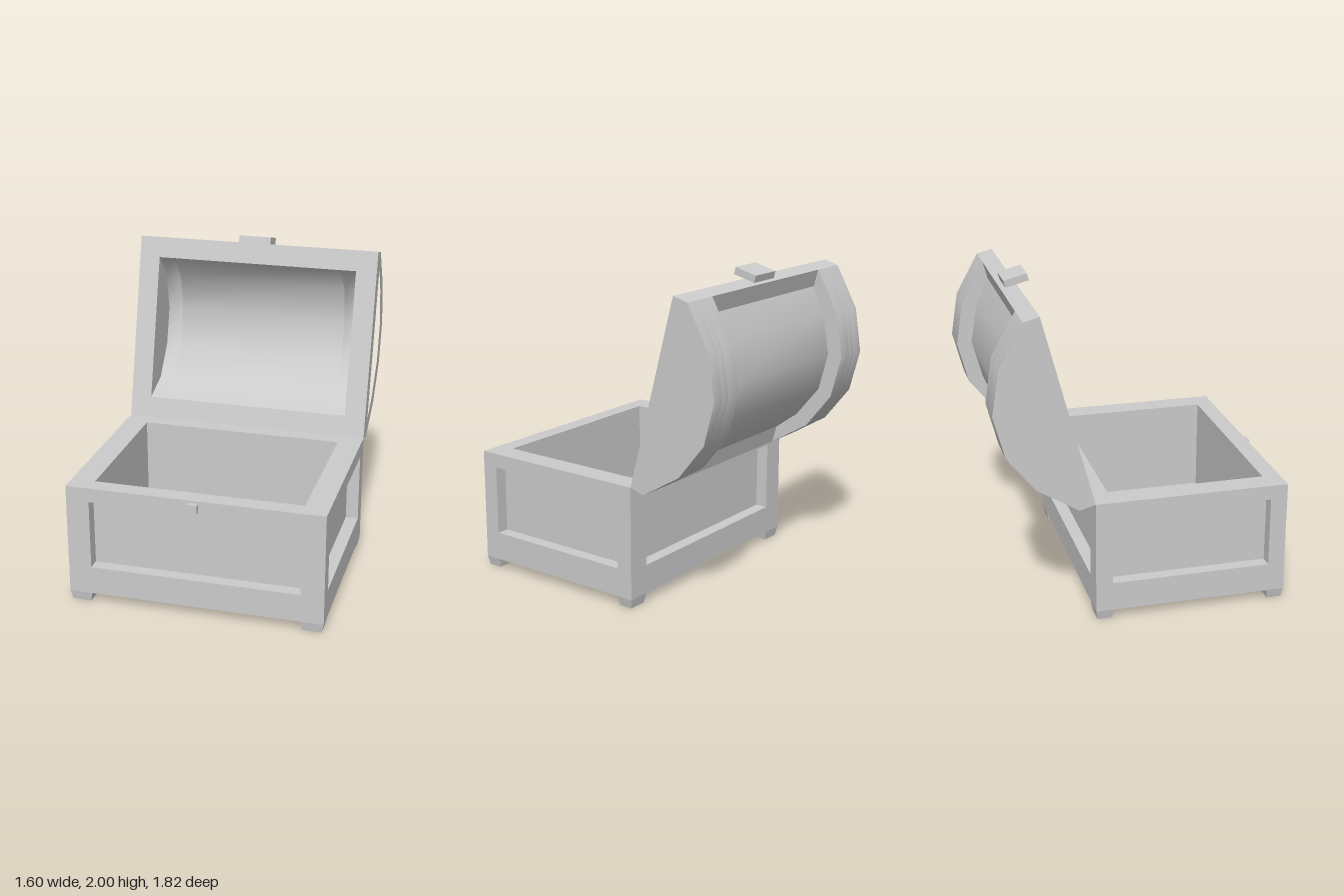
import * as THREE from 'three';
import { toCreasedNormals } from 'three/addons/utils/BufferGeometryUtils.js';

const material = new THREE.MeshStandardMaterial({ color: 0xcccccc });
const X = 0.8, FRONT = 0.88, BACK = -0.32, BASE = 0.06, RIM = 0.77;
const MID_Z = (FRONT + BACK) / 2, HALF_Z = (FRONT - BACK) / 2;
const PANEL_DEPTH = 0.08;

function add(parent, name, geometry) {
  const mesh = new THREE.Mesh(geometry, material);
  mesh.name = name;
  parent.add(mesh);
  return mesh;
}

function block(parent, name, x0, x1, y0, y1, z0, z1) {
  const g = new THREE.BoxGeometry(x1 - x0, y1 - y0, z1 - z0);
  g.translate((x0 + x1) / 2, (y0 + y1) / 2, (z0 + z1) / 2);
  return add(parent, name, g);
}

const points = (list) => list.map(([x, y]) => new THREE.Vector2(x, y));
const rect = (x0, x1, y0, y1) => [[x0, y0], [x1, y0], [x1, y1], [x0, y1]];

function extrude(outline, hole, depth) {
  const shape = new THREE.Shape(points(outline));
  if (hole) shape.holes.push(new THREE.Path(points(hole)));
  return new THREE.ExtrudeGeometry(shape, { depth, bevelEnabled: false });
}

// Mirrors the first half of a lid arch (u along the lid, v outwards)
const LENGTH = 1.21;
const arch = (half) => [...half, ...half.map(([u, v]) => [LENGTH - u, v]).reverse()];

function createBase() {
  const base = new THREE.Group();
  base.name = 'base';

  // Framed outer walls with sunken panels
  for (const s of [1, -1]) {
    const long = extrude(rect(-X, X, BASE, RIM), rect(-0.655, 0.655, 0.24, 0.68), PANEL_DEPTH);
    long.translate(0, 0, HALF_Z - PANEL_DEPTH);
    if (s < 0) long.rotateY(Math.PI);
    long.translate(0, 0, MID_Z);
    add(base, s > 0 ? 'frontFrame' : 'backFrame', long);

    const w = HALF_Z - PANEL_DEPTH;
    const short = extrude(rect(-w, w, BASE, RIM), rect(-0.495, 0.495, 0.24, 0.68), PANEL_DEPTH);
    short.translate(0, 0, X - PANEL_DEPTH);
    short.rotateY(s * Math.PI / 2);
    short.translate(0, 0, MID_Z);
    add(base, s > 0 ? 'leftFrame' : 'rightFrame', short);
  }

  // Inner walls, open above and below the floor
  const w = X - PANEL_DEPTH, d = HALF_Z - PANEL_DEPTH;
  const walls = extrude(rect(-w, w, -d, d), rect(-0.65, 0.65, -0.49, 0.49), RIM - BASE);
  walls.rotateX(-Math.PI / 2);
  walls.translate(0, BASE, MID_Z);
  add(base, 'innerWalls', walls);
  block(base, 'floor', -0.65, 0.65, 0.13, 0.17, MID_Z - 0.49, MID_Z + 0.49);

  // Tapered corner feet
  for (const sx of [1, -1]) for (const sz of [1, -1]) {
    const foot = new THREE.BoxGeometry(0.145, BASE, 0.11);
    const p = foot.attributes.position;
    for (let i = 0; i < p.count; i++) {
      if (p.getY(i) < 0) p.setXYZ(i, p.getX(i) * 0.82, p.getY(i), p.getZ(i) * 0.82);
    }
    foot.computeVertexNormals();
    foot.translate(sx * (X - 0.0725), BASE / 2, MID_Z + sz * (HALF_Z - 0.055));
    add(base, 'foot', foot);
  }

  block(base, 'catchKnob', -0.03, 0.03, 0.695, 0.755, FRONT, FRONT + 0.03);
  return base;
}

function createLid() {
  const lid = new THREE.Group();
  lid.name = 'lid';

  const bandArch = arch([[0, 0.1], [0.215, 0.306], [0.47, 0.418]]);
  const panelArch = arch([[0.11, 0.1], [0.255, 0.217], [0.483, 0.322]]);
  const cavityArch = arch([[0.134, 0], [0.255, 0.185], [0.483, 0.29]]);
  const band = [[0, 0], ...bandArch, [LENGTH, 0]];
  const hollow = (top) => [[0, 0], ...top, [LENGTH, 0], ...[...cavityArch].reverse()];
  const vault = hollow([[0, 0.1], ...panelArch, [LENGTH, 0.1]]);

  // Lid axes: u goes up, v goes back, the extrusion runs along -x
  const axes = new THREE.Matrix4().makeBasis(
    new THREE.Vector3(0, 1, 0), new THREE.Vector3(0, 0, -1), new THREE.Vector3(-1, 0, 0));
  function slice(name, outline, hole, x0, x1) {
    const g = extrude(outline, hole, x1 - x0);
    g.applyMatrix4(axes);
    g.translate(x1, 0, 0);
    add(lid, name, toCreasedNormals(g, 0.6));
  }

  slice('vault', vault, null, -0.565, 0.565);

  // Raised end bands: hollow inside, solid core, sunken outer panel
  const sections = [
    ['bandInner', hollow(bandArch), null, 0.565, 0.665],
    ['bandCore', band, null, 0.665, X - PANEL_DEPTH],
    ['bandFrame', band, panelArch, X - PANEL_DEPTH, X],
  ];
  for (const [name, outline, hole, x0, x1] of sections) {
    slice(name, outline, hole, x0, x1);
    slice(name, outline, hole, -x1, -x0);
  }

  block(lid, 'latch', -0.105, 0.105, LENGTH, LENGTH + 0.045, -0.07, 0.078);

  // Swung open about the back edge of the base
  lid.position.set(0, RIM, BACK);
  lid.rotation.x = -0.259;
  return lid;
}

export function createModel() {
  const chest = new THREE.Group();
  chest.name = 'chest';
  chest.add(createBase(), createLid());
  return chest;
}
